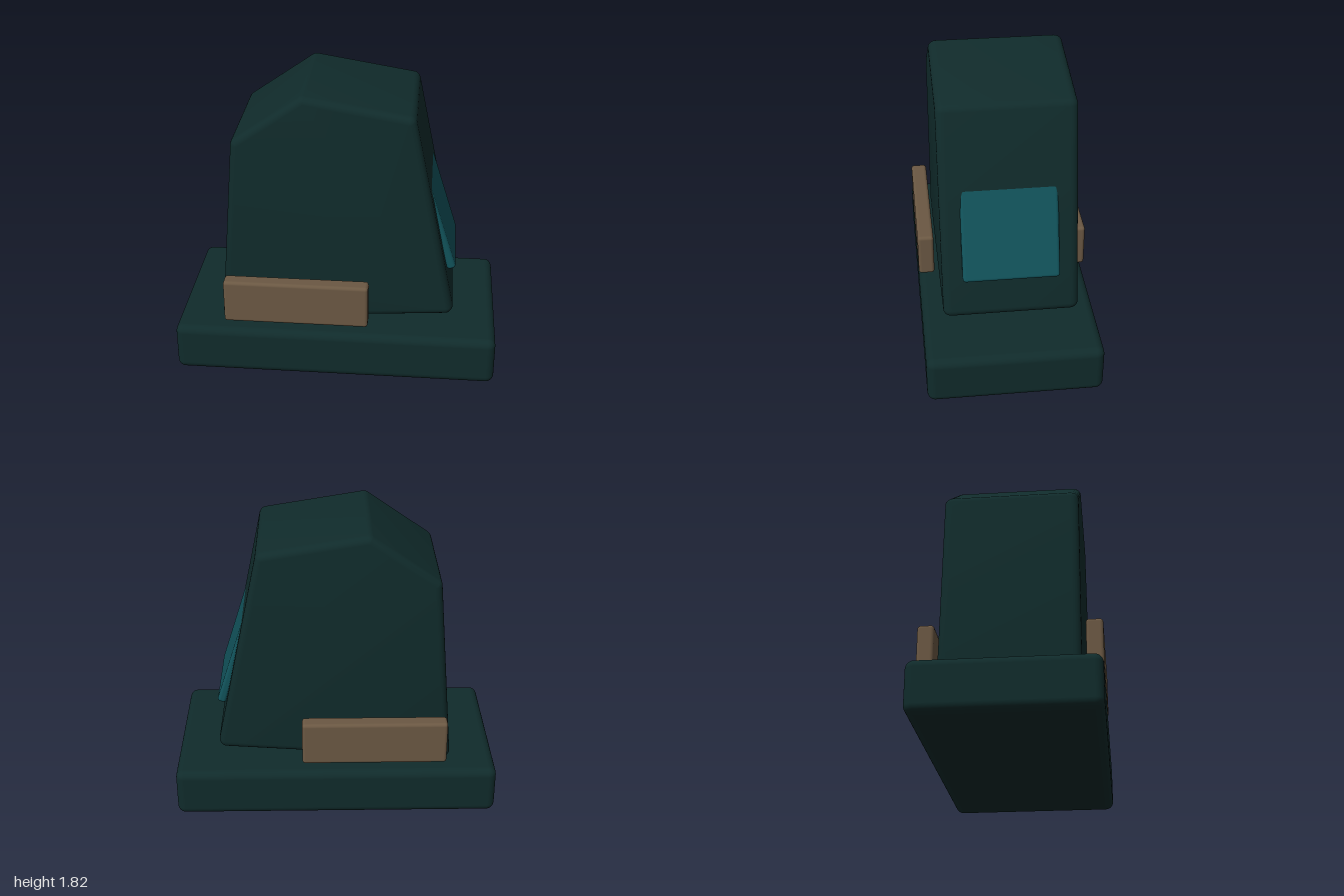
import * as THREE from 'three';
import { toCreasedNormals } from 'three/addons/utils/BufferGeometryUtils.js';
import { RoundedBoxGeometry } from 'three/addons/geometries/RoundedBoxGeometry.js';

const mat = (name, color) => {
  const m = new THREE.MeshStandardMaterial({ color });
  m.name = name;
  return m;
};

// Prism with all edges rounded, from a convex counter-clockwise profile
function roundedPrism(points, depth, radius) {
  const core = 0.008; // corner arc left in the shape; the bevel adds the rest
  const bevel = radius - core;
  const n = points.length;
  const pts = points.map(([x, y]) => new THREE.Vector2(x, y));
  const normals = pts.map((p, i) => {
    const d = pts[(i + 1) % n].clone().sub(p).normalize();
    return new THREE.Vector2(d.y, -d.x);
  });
  const shape = new THREE.Shape();
  const outline = [];
  pts.forEach((p, i) => {
    const a = normals[(i + n - 1) % n], b = normals[i];
    const centre = p.clone().addScaledVector(a.clone().add(b), -radius / (1 + a.dot(b)));
    const start = a.angle();
    const sweep = Math.acos(THREE.MathUtils.clamp(a.dot(b), -1, 1));
    for (let k = 0; k <= 5; k++) {
      const t = start + (sweep * k) / 5;
      outline.push(new THREE.Vector2(centre.x + core * Math.cos(t), centre.y + core * Math.sin(t)));
    }
  });
  shape.setFromPoints(outline);
  const geo = new THREE.ExtrudeGeometry(shape, {
    depth: depth - 2 * radius, bevelEnabled: true, bevelSize: bevel, bevelThickness: radius, bevelSegments: 5,
  });
  geo.translate(0, 0, -(depth - 2 * radius) / 2);
  return toCreasedNormals(geo, 0.6);
}

export function createModel() {
  const group = new THREE.Group();
  const shell = mat('dark teal shell', 0x102b2b);
  const glass = mat('teal screen', 0x11535b);
  const trim = mat('brown trim', 0x6b5843);

  const add = (name, geo, material, x, y, z) => {
    const mesh = new THREE.Mesh(geo, material);
    mesh.name = name;
    mesh.position.set(x, y, z);
    group.add(mesh);
    return mesh;
  };

  // Flat base slab
  add('base', new RoundedBoxGeometry(2, 0.31, 1.07, 4, 0.05), shell, 0, 0.155, 0);

  // Leaning cabinet with a sloped top
  const profile = [[-0.72, 0.31], [0.738, 0.418], [0.463, 1.717], [-0.198, 1.825], [-0.62, 1.53]];
  add('cabinet', roundedPrism(profile, 0.82, 0.05), shell, 0, 0, 0);

  // Screen panel tilted out of the cabinet's +x face
  const screen = add('screen', new RoundedBoxGeometry(0.055, 0.72, 0.58, 4, 0.02), glass, 0.603, 1.02, 0);
  screen.rotation.z = THREE.MathUtils.degToRad(17.7);

  // Side trim bars
  for (const side of [1, -1]) {
    add(side > 0 ? 'frontTrim' : 'backTrim',
      new RoundedBoxGeometry(0.89, 0.28, 0.1, 4, 0.02), trim, -0.235, 0.515, side * 0.485);
  }
  return group;
}
